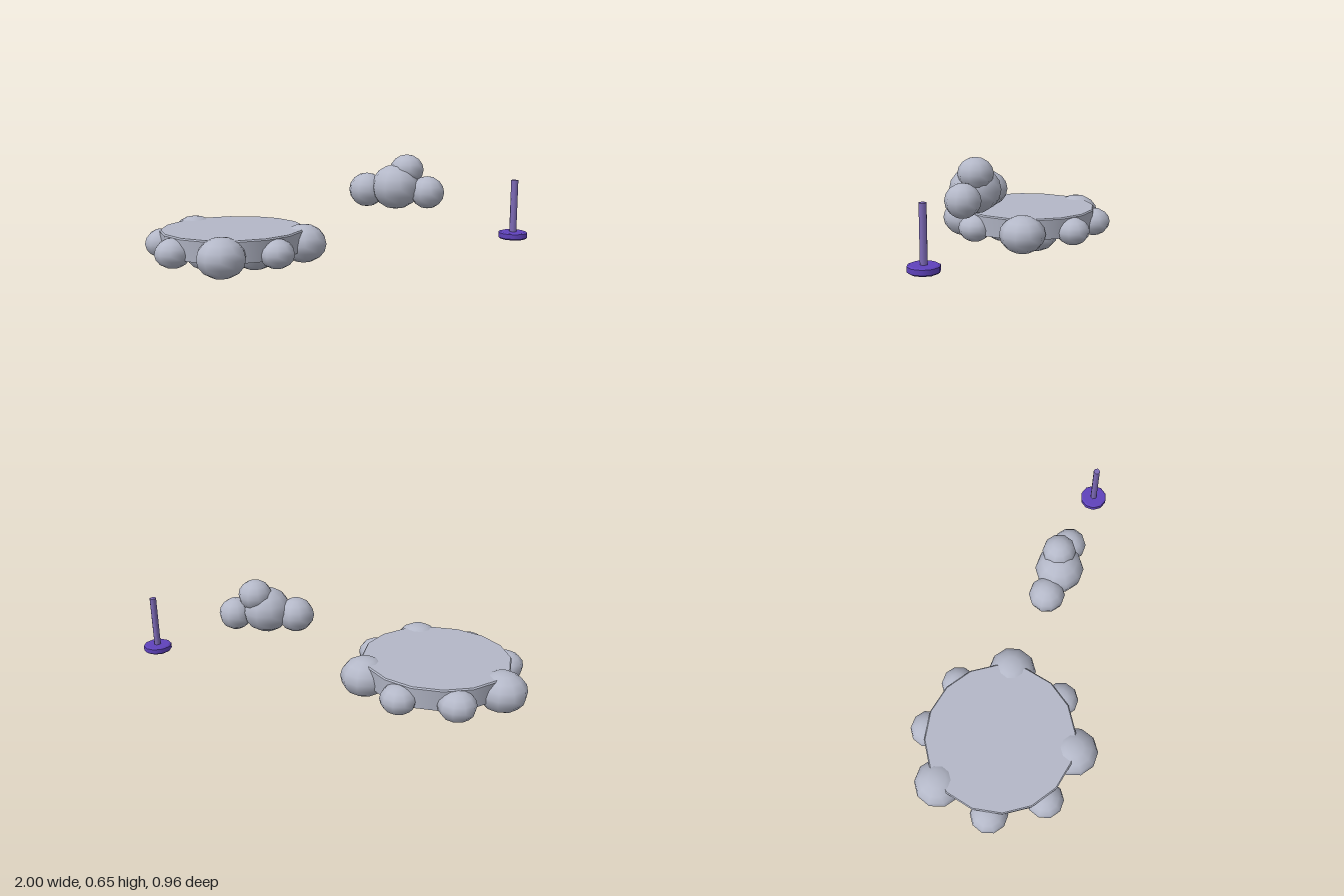
import * as THREE from 'three';

export function createModel() {
  const model = new THREE.Group();
  model.name = 'cloudSet';

  const cloudGrey = new THREE.MeshStandardMaterial({ color: 0xb4b8c8 });
  cloudGrey.name = 'cloudGrey';
  const polePurple = new THREE.MeshStandardMaterial({ color: 0x7e6bb8 });
  polePurple.name = 'polePurple';
  const basePurple = new THREE.MeshStandardMaterial({ color: 0x5f42bc });
  basePurple.name = 'basePurple';

  const group = (name, x, y, z) => {
    const g = new THREE.Group();
    g.name = name;
    g.position.set(x, y, z);
    model.add(g);
    return g;
  };

  const add = (parent, name, geometry, material, x = 0, y = 0, z = 0) => {
    const mesh = new THREE.Mesh(geometry, material);
    mesh.name = name;
    mesh.position.set(x, y, z);
    parent.add(mesh);
    return mesh;
  };

  // Smooth low-poly puff, flattened vertically
  const puff = (parent, name, r, squash, x, y, z) =>
    add(parent, name, new THREE.SphereGeometry(r, 10, 8), cloudGrey, x, y, z).scale.set(1, squash, 1);

  // Cloud platform: broad disc with a thin bevelled rim
  const platform = group('cloudPlatform', -0.535, 0, -0.017);
  add(platform, 'disc', new THREE.CylinderGeometry(0.387, 0.375, 0.111, 16), cloudGrey, 0, 0.1795, 0);
  add(platform, 'discRim', new THREE.CylinderGeometry(0.381, 0.387, 0.007, 16), cloudGrey, 0, 0.2385, 0);

  // Ring of puffs around the platform edge
  const rimRadii = [0.127, 0.093, 0.127, 0.095, 0.097, 0.127, 0.097, 0.093];
  const rimAngles = [-12, 35, 79, 123, 168, 215, 259, 303];
  rimRadii.forEach((r, i) => {
    const a = THREE.MathUtils.degToRad(rimAngles[i]);
    puff(platform, 'rimPuff', r, 0.82, Math.cos(a) * 0.38, 0.157, Math.sin(a) * 0.38);
  });

  // Puffs hanging underneath
  puff(platform, 'underPuff', 0.132, 0.71, 0.1, 0.094, -0.07);
  puff(platform, 'underPuff', 0.118, 0.71, -0.122, 0.096, 0.052);
  puff(platform, 'underPuff', 0.109, 0.71, 0.012, 0.097, 0.148);

  // Small floating cloud
  const cloud = group('smallCloud', 0.342, 0.487, -0.016);
  puff(cloud, 'cloudBody', 0.124, 0.91, 0, 0, 0);
  puff(cloud, 'rightPuff', 0.092, 0.94, -0.15, -0.02, -0.014);
  puff(cloud, 'leftPuff', 0.085, 0.96, 0.16, -0.025, 0);
  puff(cloud, 'topPuff', 0.085, 0.91, 0.053, 0.085, -0.022);

  // Marker post on a bevelled round base
  const post = group('markerPost', 0.928, 0, -0.013);
  add(post, 'pole', new THREE.CylinderGeometry(0.017, 0.017, 0.27, 8), polePurple, 0, 0.4, 0);
  const bands = [[0.062, 0.071, 0.005, 0.2775], [0.071, 0.071, 0.023, 0.2635], [0.071, 0.062, 0.007, 0.2485]];
  bands.forEach(([top, bottom, h, y]) =>
    add(post, 'base', new THREE.CylinderGeometry(top, bottom, h, 10), basePurple, 0, y, 0));

  return model;
}
